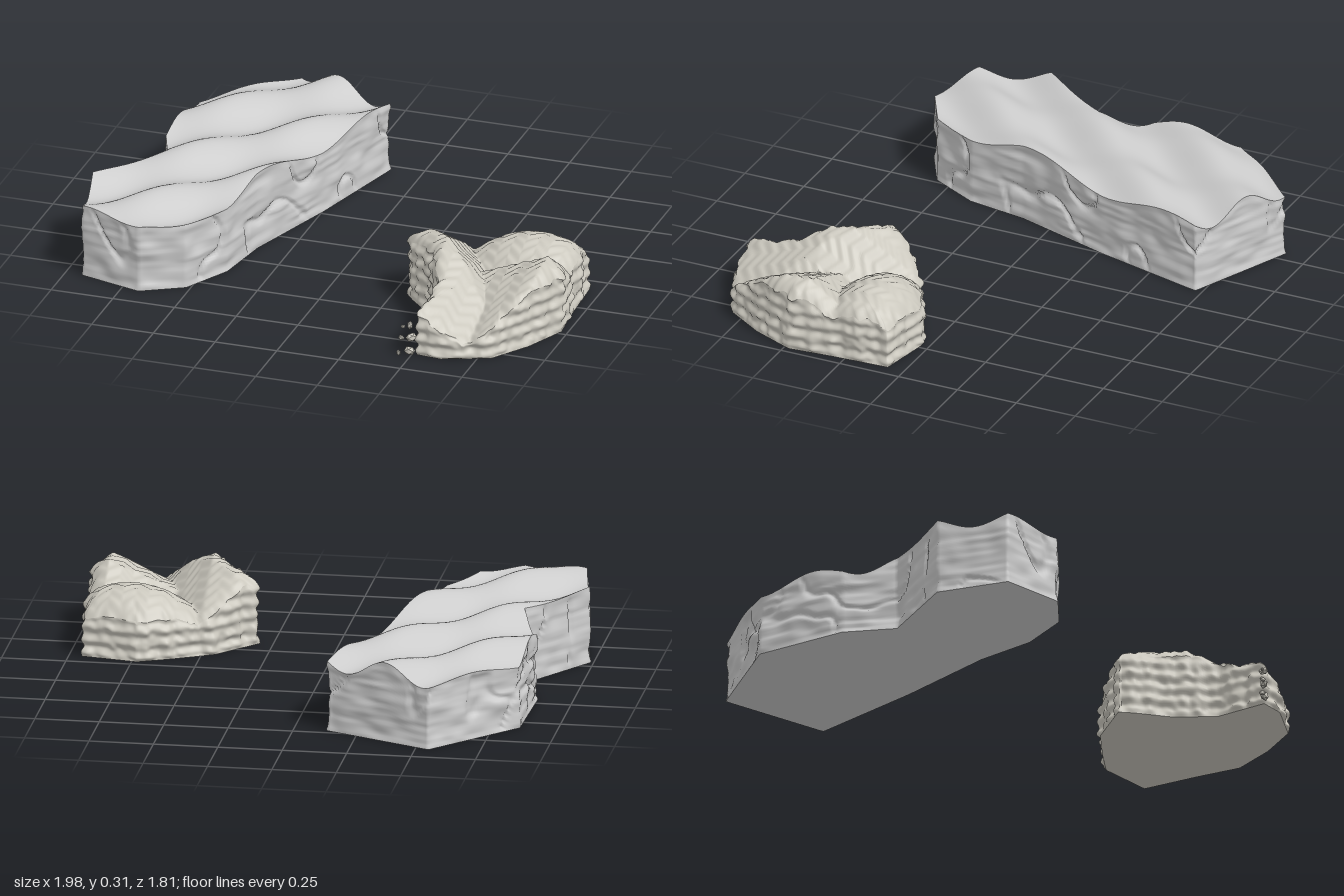
import * as THREE from 'three';

const V = (x, z) => new THREE.Vector2(x, z);
const smooth = (a, b, v) => THREE.MathUtils.smoothstep(v, a, b);

// Smooth value noise from an integer hash
function hash(x, y, z) {
  const s = Math.sin(x * 127.1 + y * 311.7 + z * 74.7) * 43758.5453;
  return s - Math.floor(s);
}
function noise(x, y, z) {
  const c = [x, y, z].map(Math.floor);
  const f = [x - c[0], y - c[1], z - c[2]].map((t) => t * t * (3 - 2 * t));
  let sum = 0;
  for (let k = 0; k < 8; k++) {
    const d = [k & 1, (k >> 1) & 1, k >> 2];
    const w = d.reduce((p, on, i) => p * (on ? f[i] : 1 - f[i]), 1);
    sum += w * hash(c[0] + d[0], c[1] + d[1], c[2] + d[2]);
  }
  return sum * 2 - 1;
}

// Closed outline split into short steps, clockwise from above
function subdivide(points, step) {
  const out = [];
  points.forEach(([x, z], i) => {
    const [nx, nz] = points[(i + 1) % points.length];
    const n = Math.ceil(Math.hypot(nx - x, nz - z) / step);
    for (let k = 0; k < n; k++) out.push(V(x + ((nx - x) * k) / n, z + ((nz - z) * k) / n));
  });
  return out;
}

// Surface through successive closed rings of points
function loft(rings) {
  const n = rings[0].length, index = [];
  for (let j = 0; j < rings.length - 1; j++) {
    for (let i = 0; i < n; i++) {
      const a = j * n + i, b = j * n + ((i + 1) % n), c = a + n, d = b + n;
      index.push(a, b, c, b, d, c);
    }
  }
  const geo = new THREE.BufferGeometry();
  geo.setAttribute('position', new THREE.Float32BufferAttribute(rings.flat(2), 3));
  geo.setIndex(index);
  geo.computeVertexNormals();
  return geo;
}

function part(name, geometry, material) {
  const mesh = new THREE.Mesh(geometry, material);
  mesh.name = name;
  return mesh;
}

// A rock slab: height field on top, rough wall, flat underside
function makeRock(name, { outline, center, step, height, relief, material }) {
  const edge = subdivide(outline, step);
  const normals = edge.map((p, i) => {
    const a = edge.at(i - 2), b = edge[(i + 2) % edge.length];
    return V(b.y - a.y, a.x - b.x).normalize();
  });
  const push = (i, y, v) => edge[i].clone().addScaledVector(normals[i], relief(edge[i], y, v));
  const rim = edge.map((p, i) => push(i, height(p.x, p.y, 1), 1));

  const TOP = 44, WALL = 32;
  const top = [], wall = [];
  for (let j = 0; j <= TOP; j++) {
    const t = j / TOP;
    top.push(rim.map((p) => {
      const x = center.x + (p.x - center.x) * t, z = center.y + (p.y - center.y) * t;
      return [x, height(x, z, t), z];
    }));
  }
  for (let j = 0; j <= WALL; j++) {
    const v = 1 - j / WALL;
    wall.push(rim.map((r, i) => {
      const y = top[TOP][i][1] * v;
      const p = j === 0 ? r : push(i, y, v);
      return [p.x, y, p.y];
    }));
  }
  const base = [wall[WALL], edge.map(() => [center.x, 0, center.y])];

  const group = new THREE.Group();
  group.name = name;
  group.add(
    part(name + 'Top', loft(top), material),
    part(name + 'Wall', loft(wall), material),
    part(name + 'Base', loft(base), material),
  );
  return group;
}

export function createModel() {
  const model = new THREE.Group();
  model.name = 'rocks';
  const grey = new THREE.MeshStandardMaterial({ color: 0xcccccc });
  const sandy = new THREE.MeshStandardMaterial({ color: 0xcbc8be, side: THREE.DoubleSide });

  // Long slab with diagonal waves across its top and cracked sides
  model.add(makeRock('longSlab', {
    outline: [[-0.55, -0.9], [-0.13, -0.72], [-0.25, -0.27], [-0.38, 0.13], [-0.42, 0.37], [-0.52, 0.56],
      [-0.68, 0.65], [-0.93, 0.58], [-0.985, 0.3], [-0.78, 0], [-0.86, -0.2], [-0.85, -0.57]],
    center: V(-0.58, 0),
    step: 0.012,
    material: grey,
    height: (x, z) => 0.278 + 0.025 * Math.cos((2 * Math.PI * (x + z + 0.29)) / 0.45)
      + 0.012 * Math.cos((2 * Math.PI * (x + 0.37)) / 0.33),
    relief: (p, y, v) => {
      const strata = 0.004 * noise(p.x * 6, y * 60, p.y * 6);
      const lumps = 0.008 * noise(p.x * 14, y * 18, p.y * 14);
      const crack = Math.abs(noise(p.x * 7 + y * 3, y * 4, p.y * 7 + 9));
      return (strata + lumps - 0.012 * (1 - smooth(0, 0.08, crack))) * (1 - smooth(0.9, 1, v)) * smooth(0, 0.08, v)
        + 0.004 * (1 - smooth(0, 0.12, v));
    },
  }));

  // Three-lobed boulder: ridges meeting in sharp valleys, finely rippled in chevrons
  const lobes = (x, z) => {
    const k = 0.35 + 0.3 * smooth(0.3, 0.85, z);
    const fall = 0.3 * Math.max(0, z - 0.52);
    const left = 0.305 - fall - k * Math.max(0, x - 0.5) - 0.2 * Math.max(0, 0.5 - x) - 0.55 * Math.max(0, x - z - 0.07);
    const right = 0.28 - fall - k * Math.max(0, 0.9 - x) - 0.4 * Math.max(0, x - 0.9) - 0.7 * Math.max(0, 0.42 - z);
    const back = 0.255 - 3 * (z - 0.2) ** 2 - 1.5 * (x - 0.78) ** 2;
    return Math.max(left, right, back, 0.06);
  };
  model.add(makeRock('lobedBoulder', {
    outline: [[0.3, 0.34], [0.45, 0.17], [0.6, 0.09], [0.73, 0.03], [0.95, 0.07], [0.96, 0.3], [0.975, 0.48],
      [0.9, 0.65], [0.8, 0.8], [0.62, 0.87], [0.52, 0.86], [0.53, 0.65], [0.45, 0.5], [0.34, 0.39]],
    center: V(0.72, 0.42),
    step: 0.009,
    material: sandy,
    height: (x, z, t) => {
      const zigzag = Math.abs((((x / 0.1) % 1) + 1) % 1 - 0.5) * 0.08;
      const ripple = 0.003 * Math.sin((2 * Math.PI * (z + zigzag)) / 0.05);
      return lobes(x, z) * (1 - 0.12 * t ** 12) + ripple * smooth(0, 0.15, t);
    },
    relief: (p, y, v) => {
      const strata = 0.005 * Math.sin(y * 120);
      const flutes = 0.014 * noise(p.x * 26, y * 3, p.y * 26);
      const lumps = 0.007 * noise(p.x * 40, y * 45, p.y * 40);
      return (strata + flutes + lumps) * smooth(0, 0.1, v) - 0.006 * smooth(0.85, 1, v);
    },
  }));

  // Loose chips beside the boulder's front corner
  const chips = new THREE.Group();
  chips.name = 'looseChips';
  [[0.495, 0.02, 0.875, 0.024], [0.455, 0.012, 0.89, 0.014], [0.5, 0.075, 0.87, 0.024],
    [0.465, 0.075, 0.885, 0.014], [0.495, 0.125, 0.87, 0.02], [0.47, 0.12, 0.88, 0.01]]
    .forEach(([x, y, z, r], i) => {
      const chip = part('chip', new THREE.IcosahedronGeometry(r), sandy);
      chip.position.set(x, y, z);
      chip.rotation.y = i * 2;
      chip.scale.set(1, 0.8, 0.6);
      chips.add(chip);
    });
  model.add(chips);
  return model;
}
